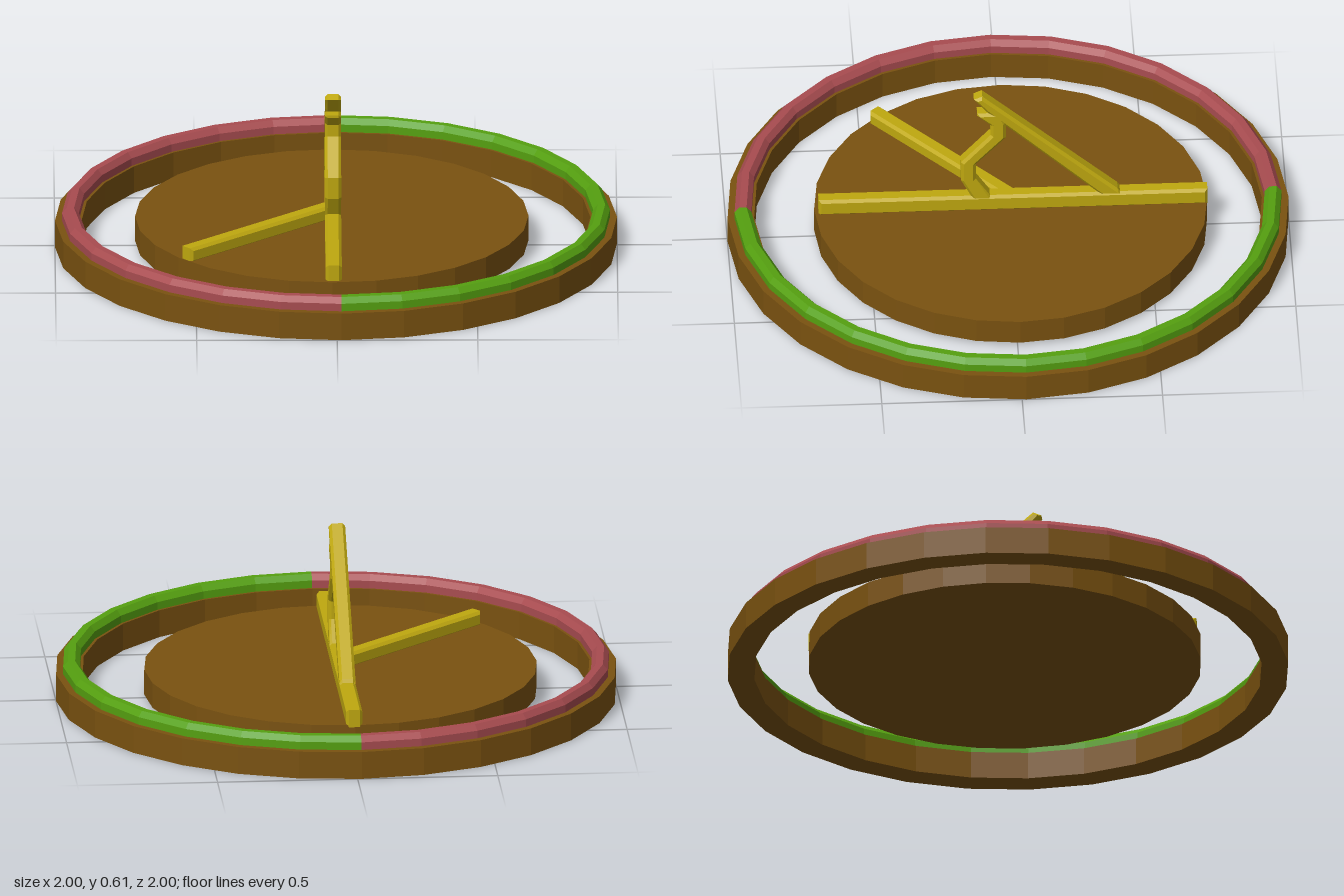
import * as THREE from 'three';

const SIDES = 28;
const TURN = 0.016; // slight turn of the outer ring
const CX = -0.011;  // middle plane of the bars and gnomon
const WIDTH = 0.058;

const paint = (color) => {
  const m = new THREE.MeshStandardMaterial({ flatShading: true });
  m.color.set(color);
  return m;
};
const brown = paint(0x7a5210);
const yellow = paint(0xbfa80f);
const green = paint(0x55a010);
const red = paint(0xa84c50);

const pts = (list) => list.map(([x, y]) => new THREE.Vector2(x, y));

function add(group, name, geometry, material) {
  const mesh = new THREE.Mesh(geometry, material);
  mesh.name = name;
  group.add(mesh);
  return mesh;
}

// closed cross-section swept round the y axis
function ring(profile, start, length, segments) {
  return new THREE.LatheGeometry(pts([...profile, profile[0]]), segments, start, length);
}

// side outline given as [z, y], extruded across x with chamfered edges
function plate(outline) {
  const c = 0.01;
  const geo = new THREE.ExtrudeGeometry(new THREE.Shape(pts(outline)), {
    depth: WIDTH - 2 * c, bevelEnabled: true, bevelThickness: c,
    bevelSize: c, bevelOffset: -c, bevelSegments: 1,
  });
  geo.translate(0, 0, -WIDTH / 2 + c);
  geo.rotateY(-Math.PI / 2);
  return geo;
}

// flat bar along z
const bar = (z0, z1, y0, y1) => plate([[z0, y0], [z1, y0], [z1, y1], [z0, y1]]);

export function createModel() {
  const group = new THREE.Group();
  group.name = 'sundial';

  // outer ring and its two coloured half bands
  add(group, 'outerRing',
    ring([[1, 0], [1, 0.1], [0.905, 0.1], [0.905, 0]], TURN, Math.PI * 2, SIDES), brown);
  const band = [[0.975, 0.095], [0.975, 0.128], [0.958, 0.148], [0.932, 0.148], [0.915, 0.128], [0.915, 0.095]];
  add(group, 'leftBand', ring(band, TURN, Math.PI, SIDES / 2), green);
  add(group, 'rightBand', ring(band, TURN + Math.PI, Math.PI, SIDES / 2), red);

  // inner dial disc
  const disc = add(group, 'dialDisc', new THREE.CylinderGeometry(0.7, 0.7, 0.092, SIDES), brown);
  disc.position.set(-0.015, 0.061, -0.01);

  // long bar and diagonal bar lying on the disc
  add(group, 'longBar', bar(-0.71, 0.675, 0.1, 0.165), yellow).position.x = CX;
  const diagonal = add(group, 'diagonalBar', bar(0, 0.705, 0.1, 0.155), yellow);
  diagonal.position.set(CX, 0, -0.022);
  diagonal.rotation.y = Math.atan2(-0.743, 0.668);

  // sloping arm of the gnomon
  add(group, 'gnomonArm', plate([
    [-0.405, 0.155], [-0.33, 0.155], [0.075, 0.535], [0.122, 0.592], [0.092, 0.605], [-0.39, 0.178],
  ]), yellow).position.x = CX;

  // bent support under the arm
  add(group, 'gnomonSupport', plate([
    [0.055, 0.15], [0.125, 0.15], [0.168, 0.235], [0.168, 0.315], [0.062, 0.433],
    [0.062, 0.476], [0.11, 0.52], [0.11, 0.53], [0.025, 0.53], [0.008, 0.485],
    [0.008, 0.42], [0.115, 0.305], [0.115, 0.24],
  ]), yellow).position.x = CX;

  return group;
}
